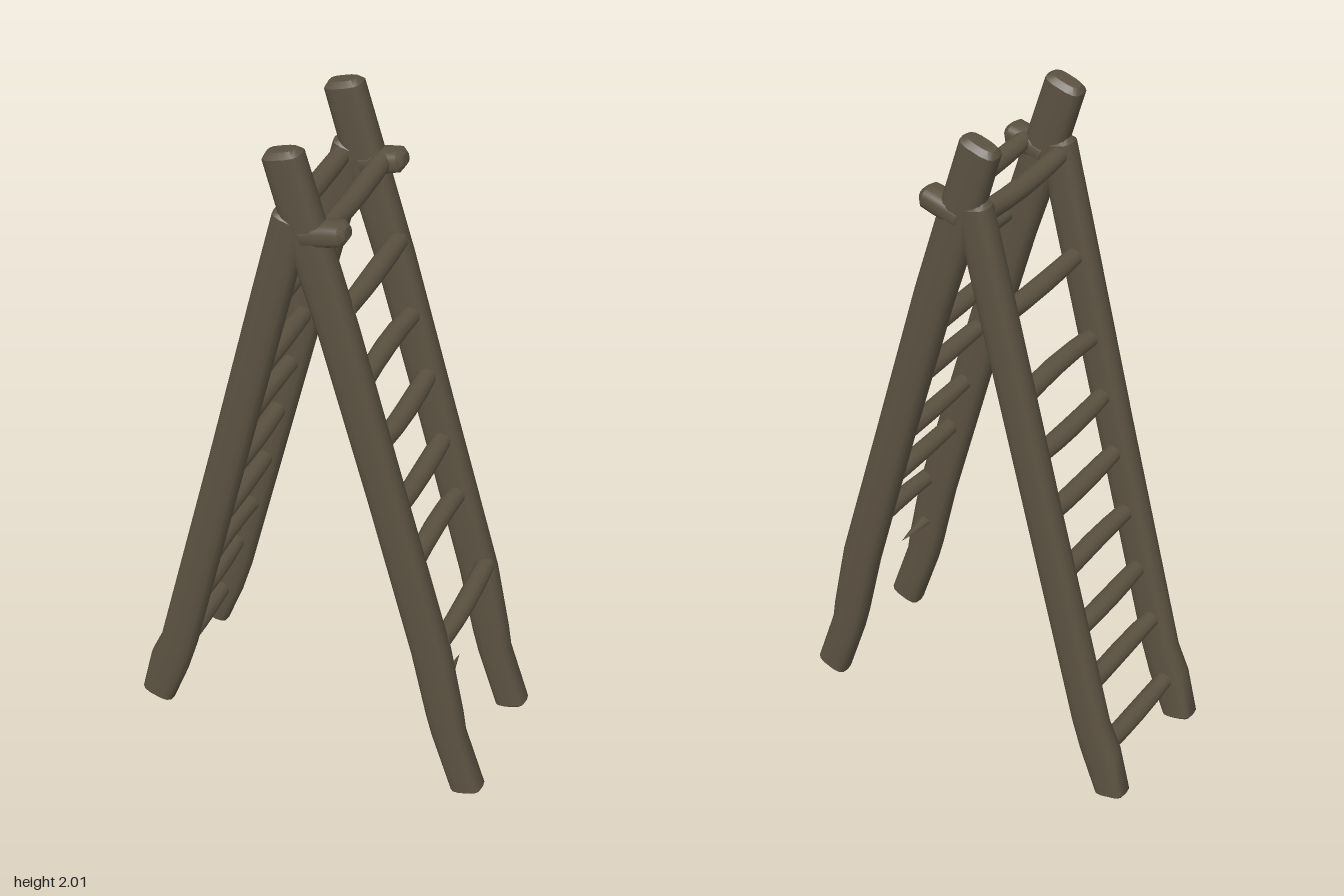
import * as THREE from 'three';
import { toCreasedNormals } from 'three/addons/utils/BufferGeometryUtils.js';

const wood = new THREE.MeshStandardMaterial({ color: 0x5b5141 });
wood.name = 'weathered wood';

// Rounded beam swept through stations [x, y, half width] in the xy plane, with chamfered ends
function beam(stations, halfDepth, sides = 14) {
  const bevel = 0.014;
  const rings = [];
  stations.forEach(([x, y, w], i) => {
    const a = stations[Math.max(i - 1, 0)];
    const b = stations[Math.min(i + 1, stations.length - 1)];
    const t = new THREE.Vector2(b[0] - a[0], b[1] - a[1]).normalize();
    const ring = (shift, inset) => rings.push({ x: x + t.x * shift, y: y + t.y * shift, t, w: w - inset, d: halfDepth - inset });
    if (i === 0) { ring(0, bevel); ring(bevel, 0); }
    else if (i === stations.length - 1) { ring(-bevel, 0); ring(0, bevel); }
    else ring(0, 0);
  });
  const pos = [], index = [];
  const round = (v) => Math.sign(v) * Math.pow(Math.abs(v), 0.65);
  for (const r of rings) {
    for (let i = 0; i < sides; i++) {
      const angle = (i / sides) * Math.PI * 2;
      const n = round(Math.cos(angle)) * r.w;
      pos.push(r.x + r.t.y * n, r.y - r.t.x * n, round(Math.sin(angle)) * r.d);
    }
  }
  const last = (rings.length - 1) * sides;
  const c0 = pos.length / 3, c1 = c0 + 1;
  for (const r of [rings[0], rings[rings.length - 1]]) pos.push(r.x, r.y, 0);
  for (let i = 0; i < sides; i++) {
    const j = (i + 1) % sides;
    for (let k = 0; k < last; k += sides) {
      index.push(k + i, k + sides + i, k + j, k + j, k + sides + i, k + sides + j);
    }
    index.push(c0, i, j, c1, last + j, last + i);
  }
  const geo = new THREE.BufferGeometry();
  geo.setAttribute('position', new THREE.Float32BufferAttribute(pos, 3));
  geo.setIndex(index);
  return toCreasedNormals(geo, 0.75);
}

// Slightly crooked round rung running along z
function rung(x, y, i) {
  const geo = new THREE.CylinderGeometry(0.025, 0.027, 0.35, 10, 4, false);
  geo.rotateX(Math.PI / 2);
  const p = geo.attributes.position;
  const bendX = 0.006 * Math.sin(i * 2.3), bendY = 0.007 * Math.sin(i * 1.7 + 4);
  for (let k = 0; k < p.count; k++) {
    const s = 1 - (p.getZ(k) / 0.175) ** 2;
    p.setX(k, p.getX(k) * (1 + 0.12 * s) + bendX * s);
    p.setY(k, p.getY(k) + bendY * s);
  }
  geo.computeVertexNormals();
  geo.translate(x, y, 0);
  return geo;
}

export function createModel() {
  const group = new THREE.Group();
  const add = (name, geo, z = 0) => {
    const mesh = new THREE.Mesh(geo, wood);
    mesh.name = name;
    mesh.position.z = z;
    group.add(mesh);
    return mesh;
  };

  // Poles: the left pair runs past the crossing, the right pair stops at it
  const leftPole = [[0.493, 0.005, 0.049], [0.425, 0.21, 0.049], [0.41, 0.28, 0.053], [0.363, 0.5, 0.056],
    [0.225, 1, 0.053], [0.085, 1.5, 0.054], [-0.008, 1.8, 0.056], [-0.065, 1.992, 0.054]];
  const rightPole = [[-0.5, 0.015, 0.05], [-0.453, 0.17, 0.06], [-0.42, 0.26, 0.054],
    [-0.237, 1, 0.051], [-0.1, 1.56, 0.051], [-0.036, 1.82, 0.05]];
  // Peg ends sticking out beside the crossing
  const peg = [[-0.02, 1.765, 0.03], [0.06, 1.785, 0.032], [0.11, 1.797, 0.029]];
  for (const [side, z] of [['front', 0.19], ['back', -0.19]]) {
    add(side + 'LeftPole', beam(leftPole, 0.034), z);
    add(side + 'RightPole', beam(rightPole, 0.034), z);
    add(side + 'Peg', beam(peg, 0.036), z);
  }

  // Rungs as [x, y]
  const rightRungs = [[-0.455, 0.16], [-0.4, 0.37], [-0.345, 0.535], [-0.3, 0.72], [-0.255, 0.91],
    [-0.212, 1.085], [-0.172, 1.26], [-0.115, 1.5], [-0.06, 1.785]];
  const leftRungs = [[0.388, 0.535], [0.295, 0.77], [0.245, 0.95], [0.195, 1.155],
    [0.145, 1.34], [0.1, 1.56], [0.052, 1.79]];
  rightRungs.forEach(([x, y], i) => add('rightRung', rung(x, y, i)));
  leftRungs.forEach(([x, y], i) => add('leftRung', rung(x, y, i + 9)));

  // Splintered remains of the snapped lowest left rung
  const splinter = new THREE.ConeGeometry(0.022, 0.13, 7);
  splinter.rotateX(-Math.PI / 2);
  splinter.scale(1, 0.8, 1);
  splinter.translate(0.395, 0.37, 0.105);
  add('brokenRung', splinter);

  return group;
}
